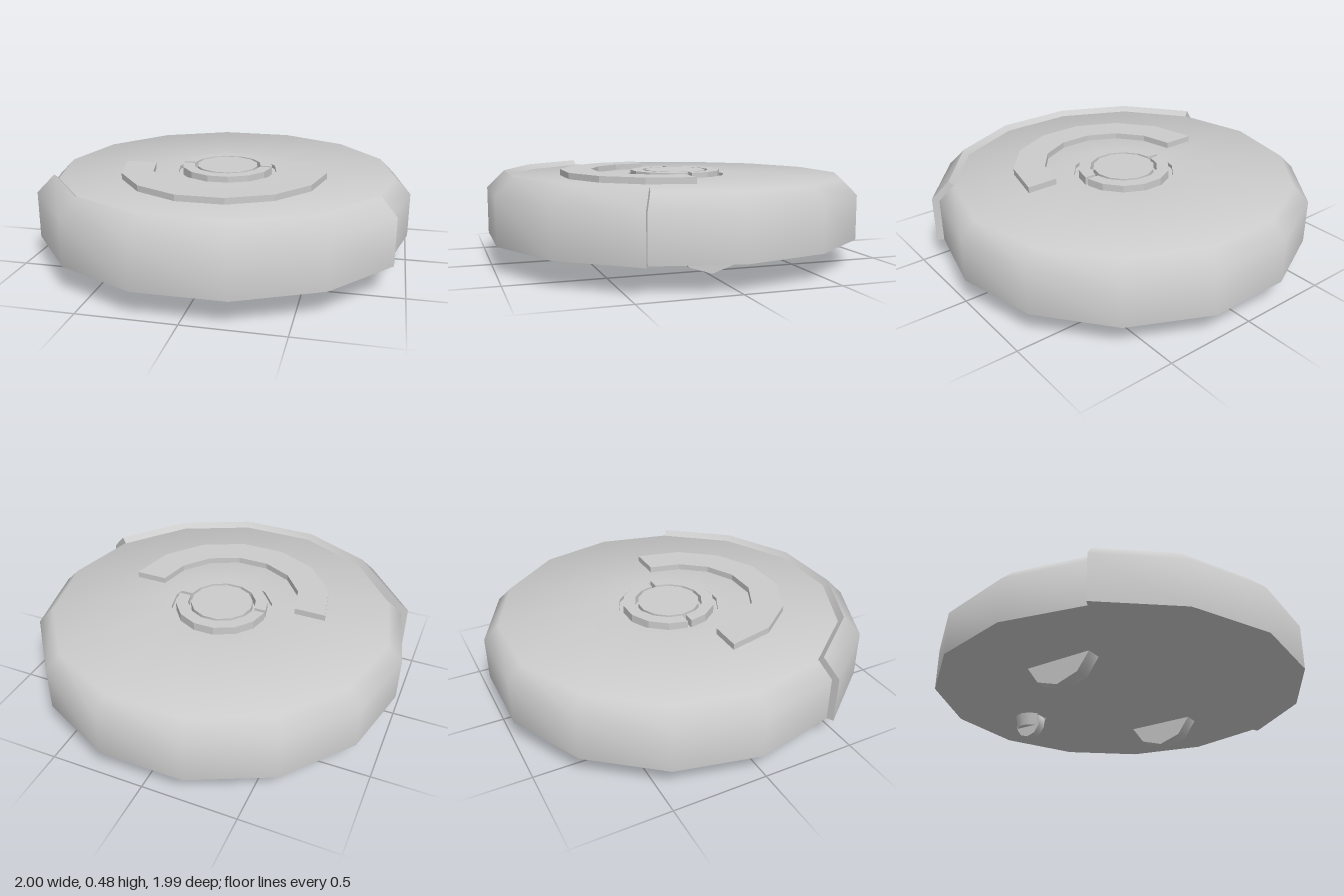
import * as THREE from 'three';
import { toCreasedNormals } from 'three/addons/utils/BufferGeometryUtils.js';
import { ConvexGeometry } from 'three/addons/geometries/ConvexGeometry.js';

const SIDES = 14, STEP = (Math.PI * 2) / SIDES, CZ = -0.02;
const v2 = (list) => list.map(([x, y]) => new THREE.Vector2(x, y));

// Points of a 14-sided arc over the front half, trimmed to y >= gap
function arcPoints(r, gap) {
  const a0 = Math.asin(gap / r), pts = [];
  for (let i = 0; i <= SIDES / 2; i++) {
    const a = Math.min(Math.max(i * STEP, a0), Math.PI - a0);
    pts.push([r * Math.cos(a), r * Math.sin(a)]);
  }
  return v2(pts);
}

// Flat half ring lying in the xz plane, its top at y = 0
function halfRing(outer, inner, gap, height) {
  const shape = new THREE.Shape([...arcPoints(outer, gap), ...arcPoints(inner, gap).reverse()]);
  const geo = new THREE.ExtrudeGeometry(shape, { depth: height, bevelEnabled: false });
  return geo.rotateX(Math.PI / 2);
}

export function createModel() {
  const group = new THREE.Group();
  const mat = new THREE.MeshStandardMaterial({ color: 0xcccccc });
  const matDouble = new THREE.MeshStandardMaterial({ color: 0xcccccc, side: THREE.DoubleSide });
  const add = (name, geo, x, y, z, material = mat, parent = group) => {
    const mesh = new THREE.Mesh(geo, material);
    mesh.name = name;
    mesh.position.set(x, y, z);
    parent.add(mesh);
    return mesh;
  };

  // Body with a chamfered rim and a shallow recess for the button
  const bodyProfile = v2([[0, 0.14], [1, 0.14], [1, 0.375], [0.92, 0.455],
    [0.275, 0.455], [0.275, 0.435], [0, 0.435]]);
  add('body', toCreasedNormals(new THREE.LatheGeometry(bodyProfile, SIDES, Math.PI / 2), 0.9), 0, 0, CZ);

  // Front bumper shell with closed ends
  const bumper = new THREE.Group();
  bumper.name = 'bumper';
  group.add(bumper);
  const shell = [[0.99, 0.14], [1.037, 0.14], [1.037, 0.39], [0.943, 0.483], [0.91, 0.45], [0.99, 0.365]];
  const half = 2.5 * STEP;
  const shellGeo = new THREE.LatheGeometry(v2([...shell, shell[0]]), 5, -half, half * 2);
  add('bumperShell', toCreasedNormals(shellGeo, 0.9), 0, 0, CZ, matDouble, bumper);
  for (const phi of [-half, half]) {
    const cap = new THREE.ShapeGeometry(new THREE.Shape(v2(shell)));
    add('bumperEnd', cap, 0, 0, CZ, matDouble, bumper).rotation.y = phi - Math.PI / 2;
  }

  // Round button: two half rings around a centre disc
  for (const turn of [0, Math.PI]) {
    add('buttonHalfRing', halfRing(0.25, 0.185, 0.011, 0.045), 0, 0.48, CZ).rotation.y = turn;
  }
  const disc = new THREE.CylinderGeometry(0.168, 0.168, 0.045, SIDES, 1, false, Math.PI / 2);
  add('buttonCentre', toCreasedNormals(disc, 0.9), 0, 0.4575, CZ);

  // Raised arc panel on the top
  add('arcPanel', halfRing(0.56, 0.39, 0, 0.04), 0, 0.488, 0.06);

  // Drive wheels, half sunk in the body
  for (const [name, x] of [['rightWheel', -0.503], ['leftWheel', 0.532]]) {
    const geo = new THREE.CylinderGeometry(0.21, 0.21, 0.085, 10, 1, false, Math.PI / 2);
    geo.rotateZ(Math.PI / 2);
    add(name, toCreasedNormals(geo, 0.9), x, 0.215, CZ);
  }

  // Caster: small wheel between two tapered cheeks
  const casterWheel = new THREE.CylinderGeometry(0.085, 0.085, 0.05, 10, 1, false, Math.PI / 2);
  casterWheel.rotateZ(Math.PI / 2);
  add('casterWheel', toCreasedNormals(casterWheel, 0.9), -0.004, 0.1, -0.63);
  for (const side of [-1, 1]) {
    const pts = [];
    for (const [r, y] of [[0.092, 0.15], [0.074, 0.07]]) {
      const a = Math.acos(0.04 / r);
      for (let i = 0; i <= 4; i++) {
        const t = a * (i / 2 - 1);
        pts.push(new THREE.Vector3(side * r * Math.cos(t), y, r * Math.sin(t)));
      }
    }
    add('casterCheek', toCreasedNormals(new ConvexGeometry(pts), 0.9), -0.004, 0, -0.63);
  }
  return group;
}
